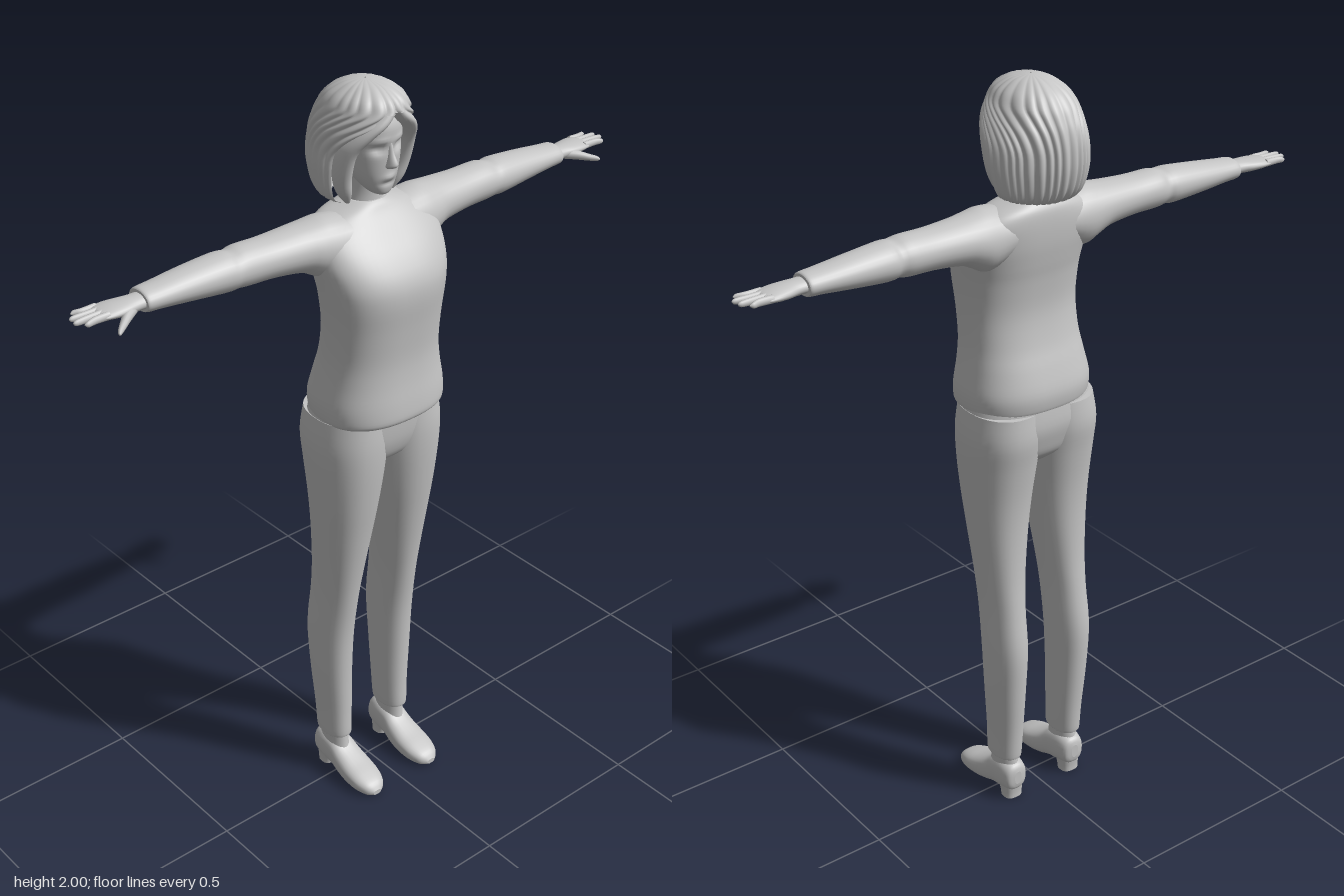
import * as THREE from 'three';

const grey = new THREE.MeshStandardMaterial({ color: 0xc4c4c4 });
grey.name = 'clay grey';
grey.side = THREE.DoubleSide;

// smooth in-between rows (Catmull-Rom over every number in a row)
function refine(rows, steps) {
  const out = [];
  const at = i => rows[Math.max(0, Math.min(rows.length - 1, i))];
  for (let i = 0; i < rows.length - 1; i++) {
    for (let k = 0; k < steps; k++) {
      const s = k / steps;
      out.push(at(i).map((b, m) => {
        const a = at(i - 1)[m], c = at(i + 1)[m], d = at(i + 2)[m];
        return 0.5 * (2 * b + (c - a) * s + (2 * a - 5 * b + 4 * c - d) * s * s + (3 * b - a - 3 * c + d) * s ** 3);
      }));
    }
  }
  out.push(rows[rows.length - 1]);
  return out;
}

// Skin over cross-sections along an axis, in ascending order.
// row = [t, uMin, uMax, vMin, vMax, gap]; axes (u,v,t): y -> (z,x,y), x -> (y,z,x), z -> (x,y,z)
function loft(axis, rows, { segs = 28, steps = 4, power = 2, strands = 0, open = false, warp = null } = {}) {
  const pos = [], index = [];
  const list = refine(rows, steps);
  const put = (u, v, t) => {
    const p = axis === 'y' ? [v, t, u] : axis === 'x' ? [t, u, v] : [u, v, t];
    if (warp) warp(p);
    pos.push(...p);
  };
  const cols = open ? segs + 1 : segs;
  const round = c => Math.sign(c) * Math.abs(c) ** (2 / power);
  const ring = ([t, u0, u1, v0, v1, gap = 0]) => {
    const g = Math.max(0, gap);
    for (let j = 0; j < cols; j++) {
      const f = j / segs, a = g + (2 * Math.PI - 2 * g) * f;
      const k = 1 - strands * (1 - Math.abs(Math.sin(f * Math.PI * 20 + 0.5 * Math.sin(f * 31))));
      put((u0 + u1) / 2 + (u1 - u0) / 2 * round(Math.cos(a)) * k,
        (v0 + v1) / 2 + (v1 - v0) / 2 * round(Math.sin(a)) * k, t);
    }
  };
  list.forEach(ring);
  for (let i = 0; i < list.length - 1; i++) {
    for (let j = 0; j < segs; j++) {
      const a = i * cols + j, b = i * cols + (j + 1) % cols;
      index.push(a, b, b + cols, a, b + cols, a + cols);
    }
  }
  // flat end caps
  if (!open) {
    [list[0], list[list.length - 1]].forEach((row, end) => {
      const start = pos.length / 3;
      ring(row);
      put((row[1] + row[2]) / 2, (row[3] + row[4]) / 2, row[0]);
      for (let j = 0; j < segs; j++) {
        const a = start + j, b = start + (j + 1) % segs;
        index.push(...(end ? [a, b, start + segs] : [b, a, start + segs]));
      }
    });
  }
  const geo = new THREE.BufferGeometry();
  geo.setAttribute('position', new THREE.Float32BufferAttribute(pos, 3));
  geo.setIndex(index);
  geo.computeVertexNormals();
  return geo;
}

// rows symmetric about x = 0: [y, halfWidth, zBack, zFront, gap]
const sym = rows => rows.map(([y, w, b, f, gap = 0]) => [y, b, f, -w, w, gap]);

function mirrored(geo) {
  const g = geo.clone().scale(-1, 1, 1);
  const ix = g.index.array;
  for (let i = 0; i < ix.length; i += 3) [ix[i], ix[i + 1]] = [ix[i + 1], ix[i]];
  g.computeVertexNormals();
  return g;
}

export function createModel() {
  const model = new THREE.Group();
  model.name = 'standingWoman';
  const add = (name, geo) => {
    const mesh = new THREE.Mesh(geo, grey);
    mesh.name = name;
    model.add(mesh);
  };
  const pair = (name, geo) => { add('left' + name, geo); add('right' + name, mirrored(geo)); };

  // sweater body
  add('sweater', loft('y', sym([
    [1.168, 0.168, -0.1, 0.158], [1.18, 0.174, -0.106, 0.165], [1.22, 0.175, -0.108, 0.163],
    [1.28, 0.164, -0.092, 0.156], [1.34, 0.156, -0.073, 0.154], [1.42, 0.156, -0.06, 0.161],
    [1.5, 0.164, -0.065, 0.17], [1.55, 0.172, -0.073, 0.163], [1.6, 0.18, -0.08, 0.134],
    [1.65, 0.175, -0.082, 0.092], [1.685, 0.135, -0.078, 0.06], [1.705, 0.075, -0.065, 0.045],
    [1.713, 0.05, -0.055, 0.036],
  ]), { segs: 56, power: 2.45 }));

  // sleeves, with a soft fold at the elbow and a cuff
  pair('Sleeve', loft('x', [
    [0.08, 1.57, 1.695, -0.075, 0.08], [0.14, 1.545, 1.702, -0.078, 0.075], [0.18, 1.562, 1.698, -0.077, 0.066],
    [0.22, 1.58, 1.694, -0.074, 0.056], [0.3, 1.59, 1.69, -0.07, 0.046], [0.37, 1.592, 1.691, -0.07, 0.042],
    [0.4, 1.596, 1.686, -0.066, 0.041], [0.43, 1.594, 1.688, -0.07, 0.04], [0.52, 1.602, 1.68, -0.068, 0.031],
    [0.6, 1.61, 1.671, -0.063, 0.024], [0.635, 1.612, 1.668, -0.061, 0.021], [0.643, 1.615, 1.664, -0.058, 0.018],
  ]));

  // hands
  pair('Palm', loft('x', [
    [0.62, 1.62, 1.658, -0.048, 0.01], [0.66, 1.621, 1.657, -0.048, 0.01], [0.69, 1.622, 1.656, -0.056, 0.014],
    [0.72, 1.625, 1.654, -0.062, 0.014], [0.745, 1.629, 1.65, -0.061, 0.01], [0.752, 1.634, 1.646, -0.055, 0.004],
  ]));
  [0.795, 0.812, 0.815, 0.8].forEach((tip, i) => {
    const z = -0.052 + i * 0.0175, end = z - 0.006 + i * 0.004;
    pair('Finger' + (i + 1), loft('x', [
      [0.735, 1.631, 1.651, z - 0.009, z + 0.009], [0.77, 1.632, 1.65, z - 0.008, z + 0.008],
      [tip - 0.008, 1.634, 1.648, end - 0.006, end + 0.006], [tip, 1.64, 1.643, end - 0.002, end + 0.002],
    ], { segs: 10, steps: 3 }));
  });
  pair('Thumb', loft('x', [
    [0.665, 1.622, 1.648, -0.02, 0.008], [0.695, 1.617, 1.643, -0.004, 0.026],
    [0.72, 1.613, 1.633, 0.018, 0.041], [0.738, 1.612, 1.626, 0.037, 0.052], [0.744, 1.615, 1.621, 0.047, 0.053],
  ], { segs: 12 }));

  // trousers: hips and two legs
  add('hips', loft('y', sym([
    [1.01, 0.06, -0.05, 0.06], [1.04, 0.13, -0.083, 0.1], [1.08, 0.17, -0.098, 0.118],
    [1.13, 0.181, -0.107, 0.126], [1.2, 0.166, -0.1, 0.13],
  ]), { segs: 48, power: 2.4 }));
  pair('TrouserLeg', loft('y', [
    [0.132, -0.078, 0.026, 0.066, 0.136], [0.14, -0.082, 0.03, 0.063, 0.139], [0.22, -0.088, 0.03, 0.06, 0.142],
    [0.35, -0.1, 0.033, 0.057, 0.15], [0.48, -0.107, 0.04, 0.053, 0.154], [0.6, -0.093, 0.056, 0.05, 0.152],
    [0.7, -0.083, 0.072, 0.04, 0.157], [0.82, -0.08, 0.093, 0.024, 0.167], [0.92, -0.085, 0.11, 0.01, 0.176],
    [1.02, -0.098, 0.123, -0.003, 0.184], [1.1, -0.11, 0.128, -0.01, 0.186], [1.17, -0.105, 0.125, -0.01, 0.175],
  ], { segs: 32, power: 2.2 }));

  // ankles, shoes and heels
  pair('Ankle', loft('y', [
    [0.06, -0.075, 0.03, 0.066, 0.132], [0.1, -0.074, 0.022, 0.07, 0.13], [0.16, -0.068, 0.018, 0.072, 0.13],
  ]));
  pair('Shoe', loft('z', [
    [-0.086, 0.088, 0.11, 0.05, 0.09], [-0.078, 0.068, 0.13, 0.03, 0.108], [-0.045, 0.06, 0.138, 0.022, 0.118],
    [-0.005, 0.058, 0.138, 0.016, 0.108], [0.03, 0.053, 0.141, 0.006, 0.084], [0.07, 0.05, 0.144, 0.001, 0.065],
    [0.11, 0.053, 0.142, 0, 0.051], [0.142, 0.066, 0.13, 0.001, 0.037], [0.157, 0.086, 0.112, 0.006, 0.02],
  ], { power: 2.5 }));
  pair('Heel', loft('y', [
    [0, -0.078, -0.03, 0.072, 0.126], [0.02, -0.079, -0.026, 0.071, 0.127], [0.06, -0.084, -0.01, 0.066, 0.132],
  ], { segs: 20, power: 2.6 }));

  // neck and head, with eye sockets and lips pressed into the face
  add('neck', loft('y', sym([[1.68, 0.054, -0.056, 0.035], [1.73, 0.043, -0.05, 0.032], [1.79, 0.043, -0.05, 0.04]])));
  add('head', loft('y', sym([
    [1.735, 0.012, 0.03, 0.06], [1.742, 0.026, 0.01, 0.068], [1.762, 0.043, -0.02, 0.073],
    [1.79, 0.057, -0.05, 0.077], [1.83, 0.066, -0.075, 0.081], [1.87, 0.071, -0.09, 0.083],
    [1.91, 0.071, -0.095, 0.083], [1.95, 0.055, -0.08, 0.062], [1.97, 0.03, -0.05, 0.035],
  ]), {
    segs: 56, steps: 6, power: 2.2, warp: p => {
      const [x, y, z] = p;
      if (z < 0.03) return;
      const dent = (cx, cy, w, h) => Math.exp(-(((Math.abs(x) - cx) / w) ** 2) - ((y - cy) / h) ** 2);
      p[2] += -0.011 * dent(0.03, 1.856, 0.017, 0.011) + 0.004 * dent(0.03, 1.876, 0.025, 0.007)
        + 0.006 * dent(0, 1.783, 0.016, 0.008) - 0.004 * dent(0, 1.767, 0.02, 0.006);
    },
  }));
  add('nose', loft('y', sym([
    [1.805, 0.008, 0.06, 0.083], [1.812, 0.014, 0.06, 0.098], [1.822, 0.012, 0.06, 0.102],
    [1.845, 0.008, 0.06, 0.09], [1.87, 0.007, 0.06, 0.083],
  ]), { segs: 16 }));

  // bobbed hair, open around the face and grooved into strands
  add('hair', loft('y', sym([
    [1.712, 0.08, -0.1, 0.05, 1.35], [1.722, 0.1, -0.13, 0.065, 1.33], [1.75, 0.113, -0.153, 0.085, 1.32],
    [1.8, 0.121, -0.166, 0.1, 1.3], [1.85, 0.119, -0.166, 0.108, 1.25], [1.89, 0.113, -0.158, 0.112, 0.95],
    [1.92, 0.106, -0.145, 0.112, 0.5], [1.945, 0.097, -0.13, 0.106, 0.05], [1.97, 0.08, -0.105, 0.09, 0],
    [1.99, 0.05, -0.068, 0.055, 0], [1.998, 0.022, -0.036, 0.018, 0], [2, 0.002, -0.012, -0.008, 0],
  ]), { segs: 160, steps: 4, strands: 0.06, open: true }));

  // locks framing the face
  pair('FrontLock', loft('y', [
    [1.715, 0, 0.012, 0.062, 0.074], [1.745, -0.012, 0.028, 0.062, 0.098], [1.79, -0.015, 0.04, 0.069, 0.111],
    [1.85, -0.005, 0.06, 0.068, 0.109], [1.89, 0.025, 0.087, 0.046, 0.09], [1.92, 0.055, 0.105, 0.018, 0.062],
    [1.945, 0.075, 0.106, 0, 0.03],
  ], { segs: 20 }));
  return model;
}
